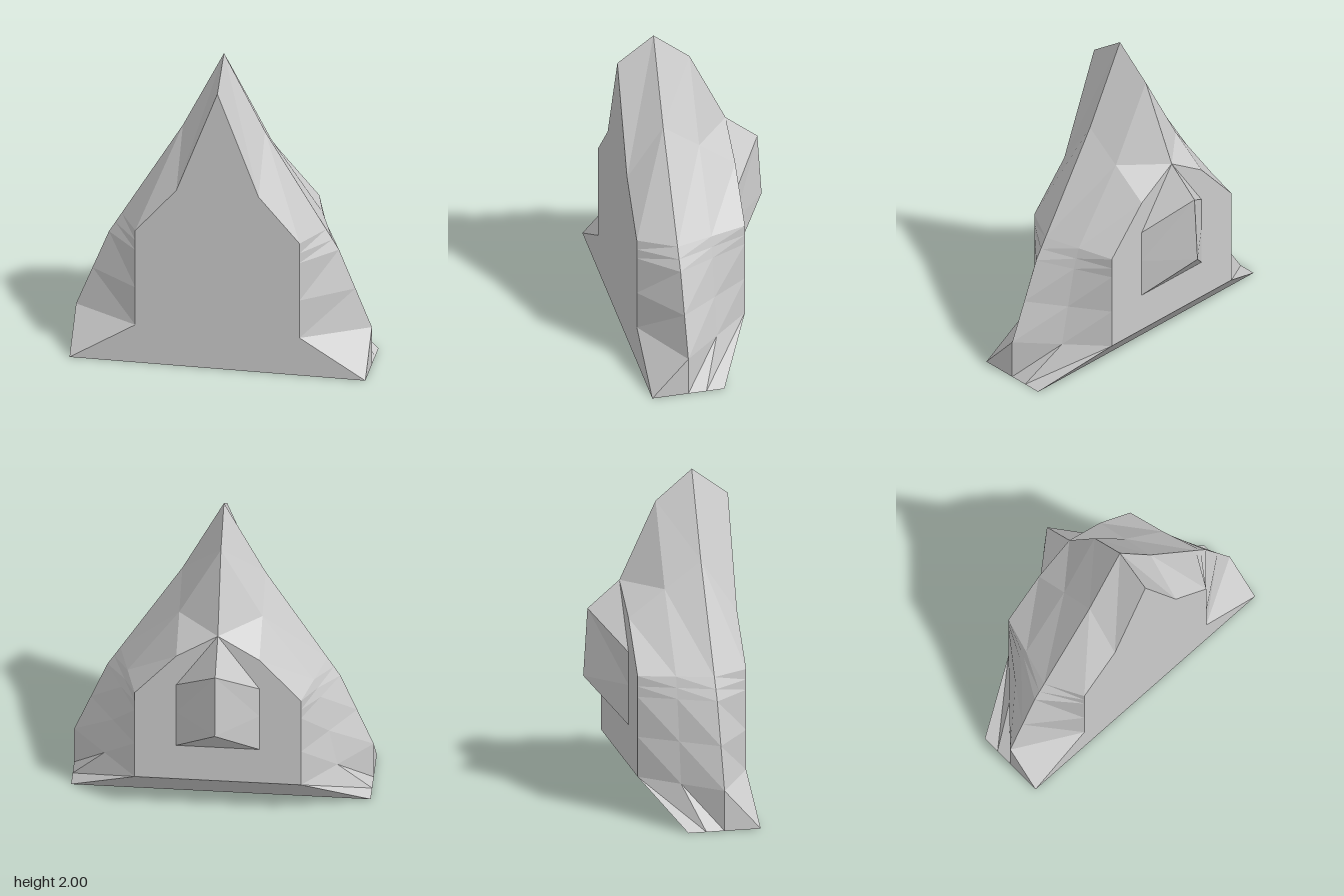
import * as THREE from 'three';

const material = new THREE.MeshStandardMaterial({ color: 0xcccccc, flatShading: true });

// Skin between neighbouring columns of points, mirrored across x = 0
function mirroredLoft(name, columns) {
  const pos = [];
  const tri = (a, b, c) => {
    pos.push(...a, ...b, ...c);
    for (const [x, y, z] of [a, c, b]) pos.push(-x, y, z);
  };
  for (let c = 0; c < columns.length - 1; c++) {
    const p = columns[c], q = columns[c + 1];
    for (let i = 0; i < p.length - 1; i++) {
      tri(p[i], p[i + 1], q[i]);
      tri(p[i + 1], q[i + 1], q[i]);
    }
  }
  const geometry = new THREE.BufferGeometry();
  geometry.setAttribute('position', new THREE.Float32BufferAttribute(pos, 3));
  geometry.computeVertexNormals();
  const mesh = new THREE.Mesh(geometry, material);
  mesh.name = name;
  return mesh;
}

// Flat symmetric plate from its right half outline
function plate(name, half, z, facesBack) {
  const outline = [...half, ...half.map(([x, y]) => [-x, y]).reverse()];
  const shape = new THREE.Shape(outline.map(([x, y]) => new THREE.Vector2(x, y)));
  const mesh = new THREE.Mesh(new THREE.ShapeGeometry(shape), material);
  mesh.name = name;
  mesh.position.z = z;
  if (facesBack) mesh.rotation.y = Math.PI;
  return mesh;
}

export function createModel() {
  const group = new THREE.Group();
  group.name = 'peak';
  const Z = 0.222;

  // Shared shoulder of the front and back faces
  const shoulder = [[0.25, 1.17], [0.5, 0.88], [0.5, 0.815], [0.5, 0.75], [0.5, 0.5], [0.5, 0.25]];
  const front = [[0, 1.835], ...shoulder, [0.9, 0]].map(([x, y]) => [x, y, 2 * Z]);
  const ridge = [[0, 2], [0.25, 1.5], [0.622, 0.88], [0.661, 0.815], [0.7, 0.75], [0.8, 0.5], [0.9, 0.25], [0.9, 0]]
    .map(([x, y]) => [x, y, Z]);
  const back = [[0, 1.335, -Z], ...shoulder.map(([x, y]) => [x, y, -Z]), [0.9, 0, 0]];

  // Column halfway down the back slope, raised at the crest
  const middle = back.map((p, i) => p.map((v, k) => (v + ridge[i][k]) / 2));
  middle[0][1] = 1.815;
  group.add(mirroredLoft('slopes', [front, ridge, middle, back]));

  // Pointed bulge on the back
  const bulgeSide = [1.17, 0.955, 0.75, 0.5].map((y) => [0.25, y, -Z]);
  const bulgeCrest = [[0, 1.335, -Z], [0, 1.17, -0.418], [0, 0.75, -0.444], [0, 0.5, -Z]];
  group.add(mirroredLoft('backBulge', [bulgeSide, bulgeCrest]));

  // Sloping back foot and underside
  const foot = [[0.5, 0.25, -Z], [0.9, 0, 0], [0.9, 0, 2 * Z]];
  group.add(mirroredLoft('base', [foot, foot.map(([, y, z]) => [0, y, z])]));

  // Flat front face and U-shaped back face
  group.add(plate('frontFace', [[0, 1.835], ...shoulder, [0.9, 0]], 2 * Z, false));
  group.add(plate('backFace', [[0.25, 0.5], ...shoulder], -Z, true));
  return group;
}
